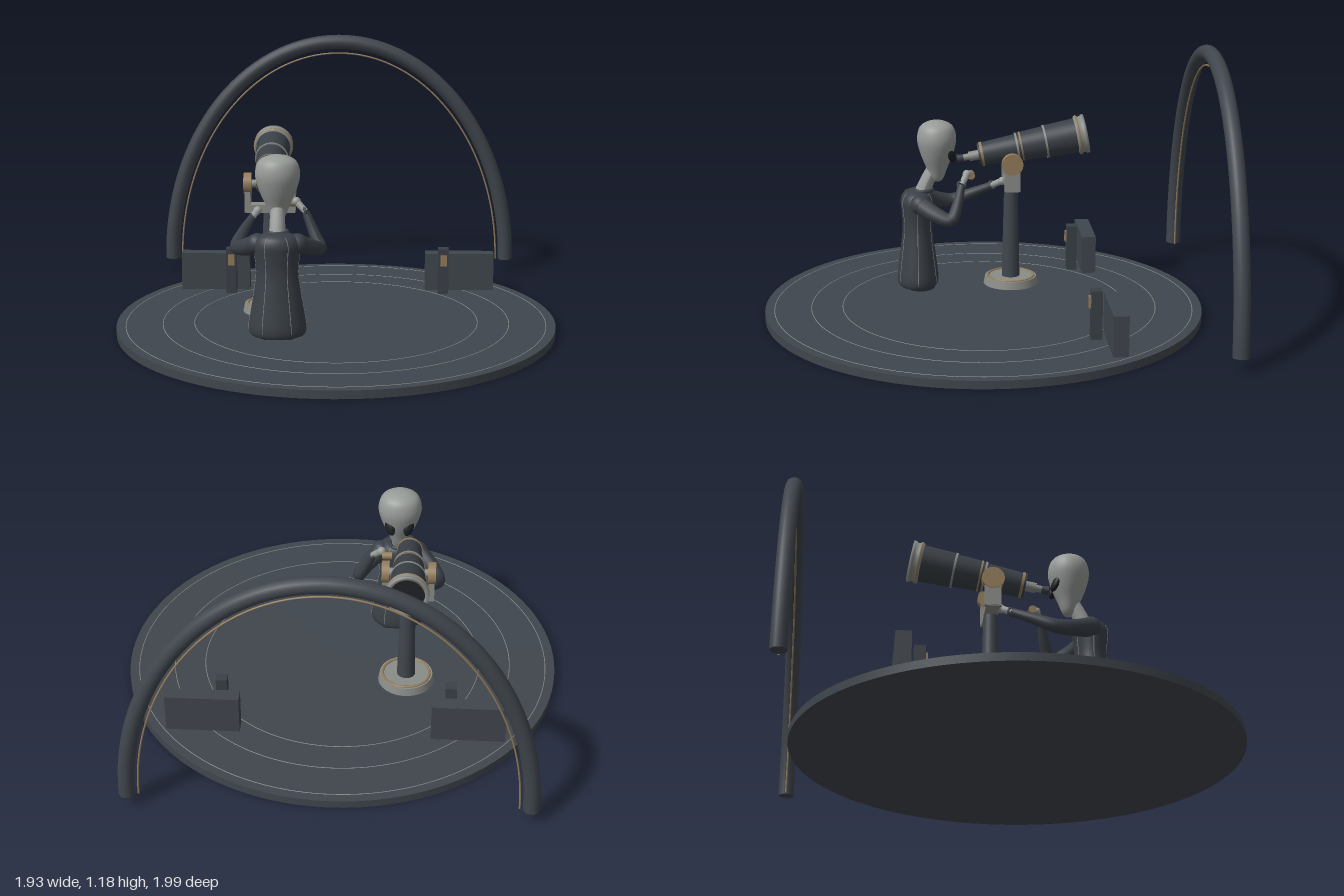
import * as THREE from 'three';

const mat = (name, color) => Object.assign(new THREE.MeshStandardMaterial({ color }), { name });

export function createModel() {
  const root = new THREE.Group();
  root.name = 'stargazerPlatform';
  const slate = mat('slate', 0x40464d);
  const dark = mat('darkCloth', 0x3a4047);
  const steel = mat('steel', 0x8a8c88);
  const skin = mat('paleSkin', 0x989c99);
  const brass = mat('brass', 0x927c5b);
  const black = mat('black', 0x1b1e22);

  const add = (parent, name, geo, material, x = 0, y = 0, z = 0) => {
    const m = new THREE.Mesh(geo, material);
    m.name = name;
    m.position.set(x, y, z);
    parent.add(m);
    return m;
  };
  const group = (name, x, y, z) => {
    const g = new THREE.Group();
    g.name = name;
    g.position.set(x, y, z);
    root.add(g);
    return g;
  };
  const box = (w, h, d) => new THREE.BoxGeometry(w, h, d);
  const cyl = (rTop, rBot, h, n = 32) => new THREE.CylinderGeometry(rTop, rBot, h, n);
  const torus = (r, t, n = 48) => new THREE.TorusGeometry(r, t, 8, n).rotateX(Math.PI / 2);
  const lathe = (pts, n = 36) => new THREE.LatheGeometry(pts.map(p => new THREE.Vector2(...p)), n);
  // smooth profile through a few [radius, height] points
  const smooth = pts => new THREE.SplineCurve(pts.map(p => new THREE.Vector2(...p)))
    .getPoints(32).map(p => [Math.max(0, p.x), p.y]);
  // tube whose radius runs from r0 to r1
  const limb = (pts, r0, r1, seg = 24) => {
    const path = new THREE.CatmullRomCurve3(pts.map(p => new THREE.Vector3(...p)));
    const geo = new THREE.TubeGeometry(path, seg, 1, 12);
    const pos = geo.attributes.position, v = new THREE.Vector3();
    for (let i = 0; i < pos.count; i++) {
      const t = Math.floor(i / 13) / seg, c = path.getPointAt(t);
      v.fromBufferAttribute(pos, i).sub(c).multiplyScalar(r0 + (r1 - r0) * t).add(c);
      pos.setXYZ(i, v.x, v.y, v.z);
    }
    geo.computeVertexNormals();
    return geo;
  };

  // Round floor with thin inlaid rings
  const floor = group('floor', 0, 0, 0.025);
  add(floor, 'floorDisc', cyl(0.967, 0.967, 0.035, 96), slate, 0, 0.0175, 0);
  for (const r of [0.625, 0.763, 0.925]) add(floor, 'inlayRing', torus(r, 0.002, 128), steel, 0, 0.0345, 0);

  // Tall arch with a fine brass line inside it
  const arch = group('arch', 0, 0.06, -0.965);
  const archTube = (rx, ry, t) => {
    const pts = [];
    for (let i = 0; i <= 48; i++) {
      const a = Math.PI * i / 48;
      pts.push(new THREE.Vector3(rx * Math.cos(a), ry * Math.sin(a), 0));
    }
    return new THREE.TubeGeometry(new THREE.CatmullRomCurve3(pts), 96, t, 16);
  };
  add(arch, 'archBeam', archTube(0.83, 1.085, 0.035), slate);
  add(arch, 'archLine', archTube(0.782, 1.03, 0.004), brass);
  for (const s of [-1, 1])
    add(arch, 'archFoot', new THREE.CircleGeometry(0.035, 16).rotateX(Math.PI / 2), slate, s * 0.83, 0.0005, 0);

  // Low walls with a small post each
  for (const s of [-1, 1]) {
    const wall = group(s > 0 ? 'leftWall' : 'rightWall', 0, 0, 0);
    add(wall, 'wallPanel', box(0.32, 0.18, 0.065), slate, s * 0.573, 0.12, -0.494);
    add(wall, 'post', box(0.048, 0.215, 0.048), dark, s * 0.495, 0.14, -0.42);
    add(wall, 'postPlate', box(0.03, 0.05, 0.009), brass, s * 0.495, 0.195, -0.392);
  }

  // Telescope stand
  const stand = group('stand', -0.295, 0, -0.117);
  add(stand, 'standBase', cyl(0.118, 0.125, 0.035, 40), steel, 0, 0.0525, 0);
  add(stand, 'baseTrim', torus(0.105, 0.006), brass, 0, 0.07, 0);
  add(stand, 'column', cyl(0.031, 0.041, 0.43), slate, 0, 0.285, 0);
  add(stand, 'yokeBar', box(0.22, 0.035, 0.06), steel, 0, 0.51, 0);
  for (const s of [-1, 1]) {
    add(stand, 'forkArm', box(0.026, 0.13, 0.07), steel, s * 0.1, 0.56, 0);
    add(stand, 'pivotDisc', cyl(0.048, 0.048, 0.034).rotateZ(Math.PI / 2), brass, s * 0.1, 0.62, 0);
    add(stand, 'pivotPin', cyl(0.018, 0.018, 0.06).rotateZ(Math.PI / 2), steel, s * 0.075, 0.62, 0);
  }

  // Telescope, built along its own axis and tilted
  const scope = group('telescope', -0.295, 0.672, -0.117);
  scope.rotation.x = -1.383;
  const sections = [[-0.15, 0.037, 0.052, 0.061], [0.037, 0.168, 0.065, 0.071], [0.168, 0.315, 0.074, 0.079]];
  for (const [a, b, r0, r1] of sections) {
    add(scope, 'tubeSection', cyl(r1, r0, b - a, 36), dark, 0, (a + b) / 2, 0);
    add(scope, 'tubeBand', cyl(r1 + 0.005, r1 + 0.005, 0.009, 36), b > 0.3 ? brass : steel, 0, b - 0.008, 0);
  }
  add(scope, 'rearBand', cyl(0.056, 0.056, 0.012, 36), brass, 0, -0.135, 0);
  add(scope, 'middleBand', cyl(0.067, 0.067, 0.008, 36), brass, 0, 0.047, 0);
  add(scope, 'frontHood', lathe([[0.078, 0.3], [0.088, 0.305], [0.088, 0.318], [0.083, 0.32], [0.083, 0.335],
    [0.089, 0.337], [0.089, 0.349], [0.074, 0.349], [0.074, 0.316]]), steel);
  add(scope, 'hoodRing', torus(0.086, 0.005), brass, 0, 0.312, 0);
  add(scope, 'lens', cyl(0.076, 0.076, 0.006, 36), black, 0, 0.318, 0);
  add(scope, 'eyepieceTube', cyl(0.022, 0.022, 0.05), steel, 0, -0.17, 0);
  add(scope, 'eyepieceNeck', cyl(0.015, 0.015, 0.05), steel, 0, -0.205, 0);
  add(scope, 'eyepieceCup', cyl(0.016, 0.02, 0.03), dark, 0, -0.235, 0);

  // Robed figure, facing the telescope
  const figure = group('figure', -0.245, 0, 0);
  const robeProfile = smooth([[0, 0.045], [0.1, 0.05], [0.123, 0.08], [0.115, 0.15], [0.1, 0.24],
    [0.089, 0.33], [0.096, 0.41], [0.1, 0.45], [0.08, 0.485], [0.03, 0.502], [0, 0.503]]);
  const robe = add(figure, 'robe', lathe(robeProfile), dark, 0, 0, 0.312);
  robe.scale.z = 0.76;
  for (let i = 0; i < 6; i++) {
    const a = Math.PI * (i + 0.5) / 3;
    const pts = robeProfile.slice(6, 27).map(([r, y]) => [r * Math.sin(a), y, 0.312 + 0.76 * r * Math.cos(a)]);
    add(figure, 'robeSeam', limb(pts, 0.0015, 0.0015), steel);
  }
  for (const s of [-1, 1]) {
    const shoe = add(figure, 'shoe', new THREE.SphereGeometry(0.04, 20, 12), dark, s * 0.05, 0.052, 0.3);
    shoe.scale.set(0.9, 0.5, 1.6);
  }
  add(figure, 'neck', limb([[0, 0.47, 0.295], [0, 0.53, 0.27], [0, 0.6, 0.235]], 0.036, 0.03), skin);
  add(figure, 'collar', torus(0.042, 0.009), dark, 0, 0.497, 0.285);
  const head = add(figure, 'head', lathe(smooth([[0, 0.535], [0.028, 0.545], [0.052, 0.6], [0.08, 0.665],
    [0.096, 0.73], [0.083, 0.785], [0.045, 0.81], [0, 0.817]])), skin, 0, 0, 0.222);
  head.scale.z = 0.92;
  for (const s of [-1, 1]) {
    const eye = add(figure, 'eye', new THREE.SphereGeometry(0.03, 20, 14), black, s * 0.042, 0.665, 0.16);
    eye.scale.set(0.75, 1.25, 0.45);
    eye.rotation.set(0.25, s * -0.45, s * -0.35);
  }

  // Arms: one raised to the focus knob, one reaching to the stand
  const arm = (name, upper, wrist, hand) => {
    const end = upper[upper.length - 1];
    add(figure, name + 'Sleeve', limb([...upper, wrist], 0.043, 0.017), dark);
    add(figure, name + 'Shoulder', new THREE.SphereGeometry(0.045, 20, 14), dark, ...upper[0]);
    const cuff = add(figure, name + 'Cuff', new THREE.TorusGeometry(0.017, 0.006, 8, 20), dark, ...wrist);
    cuff.lookAt(new THREE.Vector3(...wrist).multiplyScalar(2).sub(new THREE.Vector3(...end)));
    add(figure, name + 'Hand', limb([wrist, hand], 0.014, 0.016), skin);
    add(figure, name + 'Palm', new THREE.SphereGeometry(0.019, 16, 12), skin, ...hand);
  };
  arm('raisedArm', [[0.085, 0.448, 0.3], [0.145, 0.415, 0.23], [0.178, 0.4, 0.165], [0.155, 0.45, 0.14]],
    [0.115, 0.545, 0.115], [0.075, 0.585, 0.09]);
  arm('reachingArm', [[-0.085, 0.448, 0.3], [-0.145, 0.415, 0.23], [-0.182, 0.4, 0.15], [-0.165, 0.435, 0.06]],
    [-0.13, 0.48, -0.035], [-0.105, 0.505, -0.08]);
  add(figure, 'focusKnob', cyl(0.017, 0.017, 0.045, 20).rotateZ(Math.PI / 2), brass, 0.05, 0.575, 0.07);

  return root;
}
